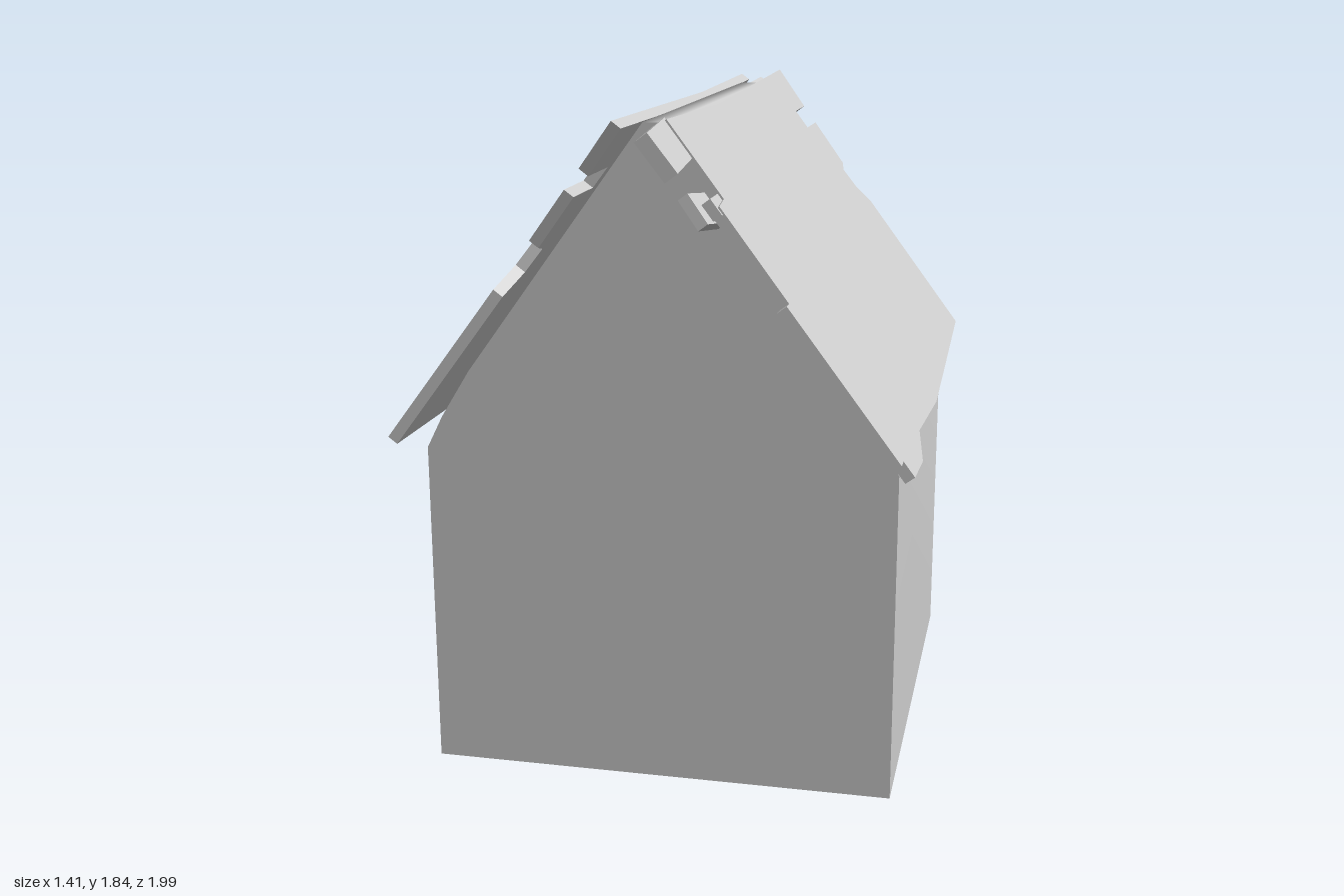
import * as THREE from 'three';

const stone = new THREE.MeshStandardMaterial({ color: 0xcccccc, side: THREE.DoubleSide });
stone.name = 'plainGrey';

const FRONT = 0.695, BACK = -0.635;          // wall planes along z
const COS = 0.6, SIN = 0.8;                  // roof pitch
const RIDGE = { x: 0.05, y: 1.84 };          // upper edge of a roof slab

// right half of the house section, from the ground to the ridge
const half = [[0.645, 0], [0.645, 0.92], [0.6, 1.01], [0.52, 1.14], [0.03, 1.815]];
const section = [...half, ...half.map(([x, y]) => [-x, y]).reverse()];

function mesh(name, geometry) {
  const m = new THREE.Mesh(geometry, stone);
  m.name = name;
  return m;
}

// thin gable wall with a window opening
function gable(name) {
  const shape = new THREE.Shape(section.map(([x, y]) => new THREE.Vector2(x, y)));
  const opening = [[-0.222, 0.92], [-0.215, 1.13], [0.215, 1.13], [0.228, 0.92]];
  shape.holes.push(new THREE.Path(opening.map(([x, y]) => new THREE.Vector2(x, y))));
  return mesh(name, new THREE.ShapeGeometry(shape));
}

// side walls and under-roof as one open shell without a floor
function shell() {
  const pos = [], index = [];
  section.forEach(([x, y], i) => {
    pos.push(x, y, FRONT, x, y, BACK);
    if (i) {
      const a = 2 * i - 2;
      index.push(a, a + 1, a + 2, a + 1, a + 3, a + 2);
    }
  });
  const g = new THREE.BufferGeometry();
  g.setAttribute('position', new THREE.Float32BufferAttribute(pos, 3));
  g.setIndex(index);
  g.computeVertexNormals();
  return mesh('sideWalls', g);
}

// ragged roof slab outline as (x, z) seen from above
const outline = [
  [0.05, -0.905], [0.14, -0.88], [0.14, -0.7], [0.18, -0.7], [0.18, -0.875], [0.28, -0.855],
  [0.29, -0.79], [0.335, -0.8], [0.375, -0.865], [0.68, -0.86],
  [0.69, -0.2], [0.695, 0.15], [0.68, 0.53], [0.705, 0.7], [0.7, 0.865], [0.67, 0.865],
  [0.67, 0.907], [0.38, 0.907], [0.38, 0.873], [0.205, 0.87], [0.2, 0.79], [0.055, 0.79], [0.065, 0.2],
];
const down = (x) => (x - RIDGE.x) / COS;     // distance down the slope

// one roof pitch: local x runs down the slope, local y points outward
function pitch(name, planks) {
  const slope = new THREE.Group();
  slope.name = name;
  slope.position.set(RIDGE.x, RIDGE.y, 0);
  slope.rotation.z = -Math.atan2(SIN, COS);
  const shape = new THREE.Shape(outline.map(([x, z]) => new THREE.Vector2(down(x), z)));
  const slab = new THREE.ExtrudeGeometry(shape, { depth: 0.03, bevelEnabled: false });
  slope.add(mesh('roofSlab', slab.rotateX(Math.PI / 2)));
  // loose plank ends: slope start, width, z range, depth below the surface, thickness, twist
  for (const [s, w, z0, z1, depth, t, twist] of planks) {
    const plank = mesh('loosePlank', new THREE.BoxGeometry(w, t, z1 - z0));
    plank.position.set(s + w / 2, -depth - t / 2, (z0 + z1) / 2);
    plank.rotation.y = twist;
    slope.add(plank);
  }
  return slope;
}

export function createModel() {
  const house = new THREE.Group();
  house.name = 'house';

  const front = gable('frontWall');
  front.position.z = FRONT;
  const back = gable('backWall');
  back.position.z = BACK;
  back.rotation.y = Math.PI;
  house.add(shell(), front, back);

  const left = pitch('leftRoof', [
    [0.01, 0.12, 0.77, 0.995, 0.005, 0.04, 0.08],
    [0.2, 0.09, 0.76, 0.93, 0.032, 0.03, -0.15],
    [0.23, 0.05, 0.74, 0.88, 0.005, 0.03, 0],
  ]);

  // opposite pitch is the same slab turned half round
  const right = new THREE.Group();
  right.name = 'rightRoof';
  right.position.z = 0.02;
  right.rotation.y = Math.PI;
  right.add(pitch('rightRoofSlope', [
    [0.02, 0.12, 0.73, 1.01, 0.035, 0.035, -0.05],
    [0.32, 0.27, 0.82, 0.975, 0.032, 0.035, 0],
    [0.95, 0.11, 0.67, 0.985, 0.032, 0.035, 0.02],
  ]));
  house.add(left, right);
  return house;
}
